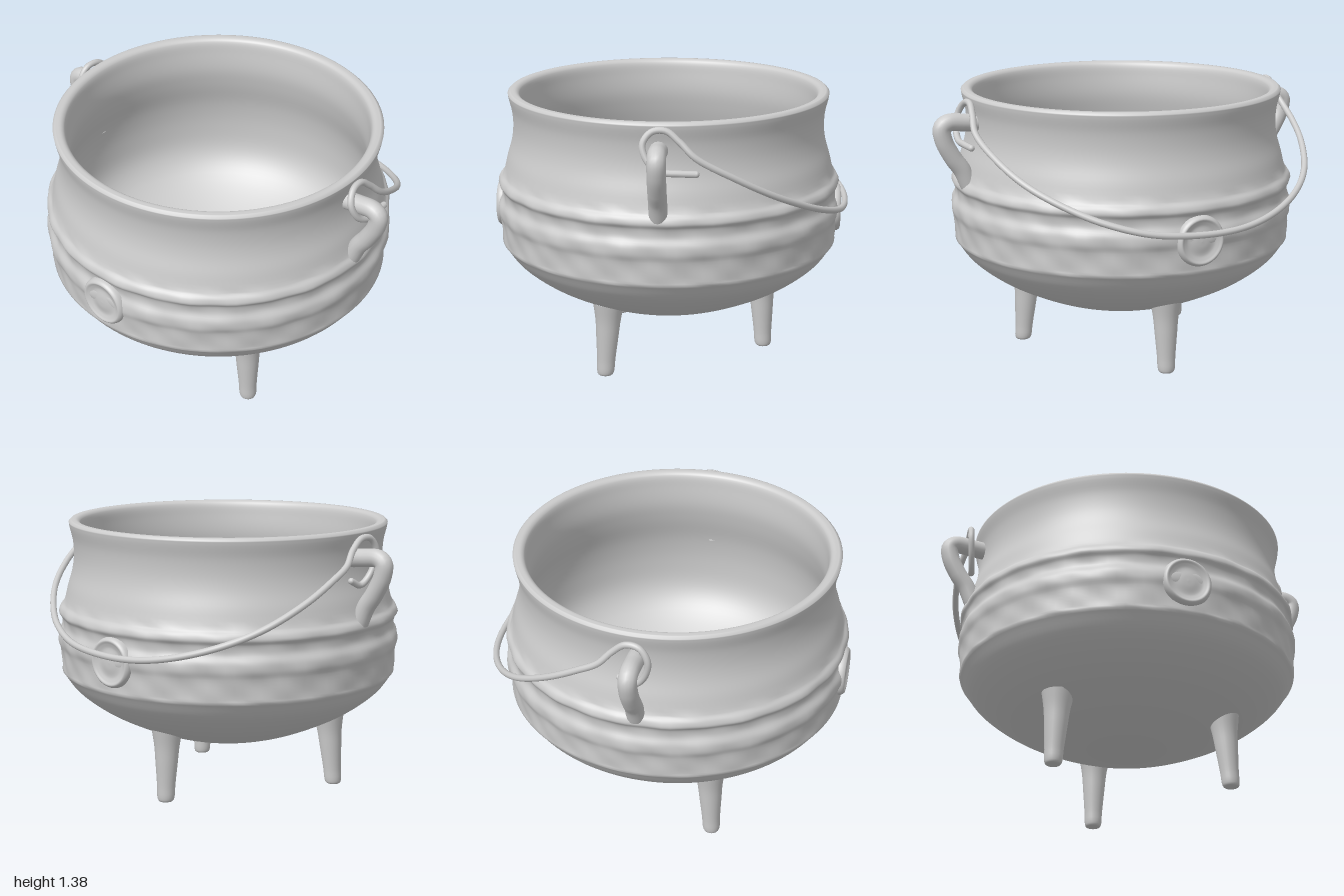
import * as THREE from 'three';

const mat = new THREE.MeshStandardMaterial({ color: 0xcccccc, roughness: 0.8 });
const V = (x, y, z) => new THREE.Vector3(x, y, z);

function add(parent, name, geometry) {
  const mesh = new THREE.Mesh(geometry, mat);
  mesh.name = name;
  parent.add(mesh);
  return mesh;
}

// Rounds a list of [radius, height] pairs into a smooth lathe profile
function smoothProfile(pairs, n) {
  const curve = new THREE.CatmullRomCurve3(pairs.map(([r, y]) => V(r, y, 0)), false, 'centripetal');
  return curve.getPoints(n).map(p => new THREE.Vector2(Math.max(p.x, 0), p.y));
}

// Rounded cap for the end of a tube or wire
function capEnd(parent, name, point, radius) {
  add(parent, name, new THREE.SphereGeometry(radius, 12, 8)).position.copy(point);
}

// Hollow body: belly, raised bands, waisted neck, rim and inner wall
function potGeometry() {
  const outerBelly = smoothProfile([
    [0, 0.225], [0.17, 0.243], [0.37, 0.295], [0.53, 0.36], [0.67, 0.435], [0.79, 0.53], [0.845, 0.605]], 30);
  const bands = smoothProfile([
    [0.853, 0.615], [0.853, 0.66], [0.857, 0.73], [0.868, 0.77], [0.866, 0.81], [0.848, 0.85],
    [0.85, 0.89], [0.863, 0.915], [0.857, 0.94], [0.838, 0.965], [0.815, 1.05], [0.792, 1.13],
    [0.783, 1.2], [0.787, 1.28], [0.802, 1.345], [0.806, 1.37]], 60);
  const rimAndInside = smoothProfile([
    [0.795, 1.381], [0.765, 1.38], [0.748, 1.365], [0.738, 1.3], [0.733, 1.2], [0.75, 1.1],
    [0.79, 0.95], [0.805, 0.8], [0.79, 0.65], [0.72, 0.54], [0.53, 0.415], [0.3, 0.33], [0, 0.29]], 60);
  const geo = new THREE.LatheGeometry([...outerBelly, ...bands, ...rimAndInside], 128);
  // Slight hand-cast waviness along the bands
  const p = geo.attributes.position;
  for (let i = 0; i < p.count; i++) {
    const x = p.getX(i), y = p.getY(i), z = p.getZ(i), r = Math.hypot(x, z);
    if (r < 0.83 || y < 0.62 || y > 0.97) continue;
    const a = Math.atan2(z, x);
    const k = 1 + 0.0025 * Math.sin(a * 17 + y * 30) + 0.002 * Math.sin(a * 29 - y * 45);
    p.setXYZ(i, x * k, y, z * k);
  }
  geo.computeVertexNormals();
  // Match normals across the lathe seam
  const n = geo.attributes.normal, rows = p.count / 129;
  for (let j = 0; j < rows; j++) {
    const a = j, b = 128 * rows + j;
    const s = V(n.getX(a) + n.getX(b), n.getY(a) + n.getY(b), n.getZ(a) + n.getZ(b)).normalize();
    n.setXYZ(a, s.x, s.y, s.z);
    n.setXYZ(b, s.x, s.y, s.z);
  }
  return geo;
}

// Tapered foot from its top centre to its sole centre
function addLeg(parent, name, top, sole) {
  const profile = smoothProfile([
    [0, 0], [0.034, 0.002], [0.042, 0.015], [0.046, 0.08], [0.056, 0.2], [0.064, 0.29], [0.08, 0.38]], 24);
  const geo = new THREE.LatheGeometry(profile, 24);
  // Shear so the foot splays outward while the sole stays level
  const p = geo.attributes.position, h = 0.35;
  for (let i = 0; i < p.count; i++) {
    const t = p.getY(i) / h;
    p.setX(i, p.getX(i) + (top[0] - sole[0]) * t);
    p.setZ(i, p.getZ(i) + (top[1] - sole[1]) * t);
  }
  add(parent, name, geo).position.set(sole[0], 0, sole[1]);
}

export function createModel() {
  const group = new THREE.Group();
  group.name = 'cauldron';

  add(group, 'pot', potGeometry()).position.z = 0.015;

  // Three feet
  addLeg(group, 'frontLeftLeg', [0.415, 0.29], [0.438, 0.308]);
  addLeg(group, 'frontRightLeg', [-0.448, 0.29], [-0.47, 0.308]);
  addLeg(group, 'backLeg', [-0.012, -0.468], [-0.012, -0.482]);

  // Round medallions on the front and back of the belly
  const medal = smoothProfile([
    [0.125, -0.04], [0.121, 0.0], [0.108, 0.014], [0.092, 0.008], [0.07, 0.002], [0.03, 0.008], [0, 0.01]], 30);
  for (const s of [1, -1]) {
    const m = add(group, s > 0 ? 'frontMedallion' : 'backMedallion', new THREE.LatheGeometry(medal, 40));
    m.rotation.x = s * Math.PI / 2;
    m.position.set(0, 0.77, 0.015 + s * 0.862);
  }

  // Side lugs
  for (const s of [1, -1]) {
    const path = new THREE.CatmullRomCurve3([
      [0.76, 1.245], [0.85, 1.255], [0.925, 1.258], [0.956, 1.235], [0.948, 1.17],
      [0.905, 1.085], [0.86, 1.02], [0.825, 0.94]].map(([x, y]) => V(s * x, y, 0.015)), false, 'centripetal');
    add(group, s > 0 ? 'leftLug' : 'rightLug', new THREE.TubeGeometry(path, 48, 0.044, 16));
  }

  // Wire bail: hooked round both lugs and hanging down behind the pot
  const leftHook = [
    [0.872, 1.162, -0.16], [0.88, 1.166, -0.08], [0.882, 1.172, -0.01], [0.87, 1.21, 0.055],
    [0.848, 1.29, 0.085], [0.828, 1.345, 0.045], [0.824, 1.35, -0.02], [0.835, 1.3, -0.085]];
  const arc = [
    [0.85, -0.16], [0.81, -0.34], [0.73, -0.5], [0.6, -0.645], [0.45, -0.76], [0.25, -0.85], [0, -0.885],
    [-0.22, -0.872], [-0.42, -0.81], [-0.6, -0.705], [-0.73, -0.575], [-0.82, -0.4], [-0.855, -0.25], [-0.862, -0.15],
  ].map(([x, z]) => [x, 1.235 + (z + 0.15) * 0.578, z]);
  const rightHook = [
    [-0.848, 1.3, -0.085], [-0.85, 1.35, -0.02], [-0.858, 1.345, 0.045], [-0.865, 1.28, 0.085],
    [-0.852, 1.18, 0.06], [-0.836, 1.125, 0.0], [-0.825, 1.15, -0.06]];
  const wire = [...leftHook, ...arc, ...rightHook].map(p => V(...p));
  const bail = new THREE.CatmullRomCurve3(wire, false, 'centripetal');
  add(group, 'bailHandle', new THREE.TubeGeometry(bail, 300, 0.016, 10));
  capEnd(group, 'bailLeftEnd', wire[0], 0.016);
  capEnd(group, 'bailRightEnd', wire[wire.length - 1], 0.016);

  return group;
}
